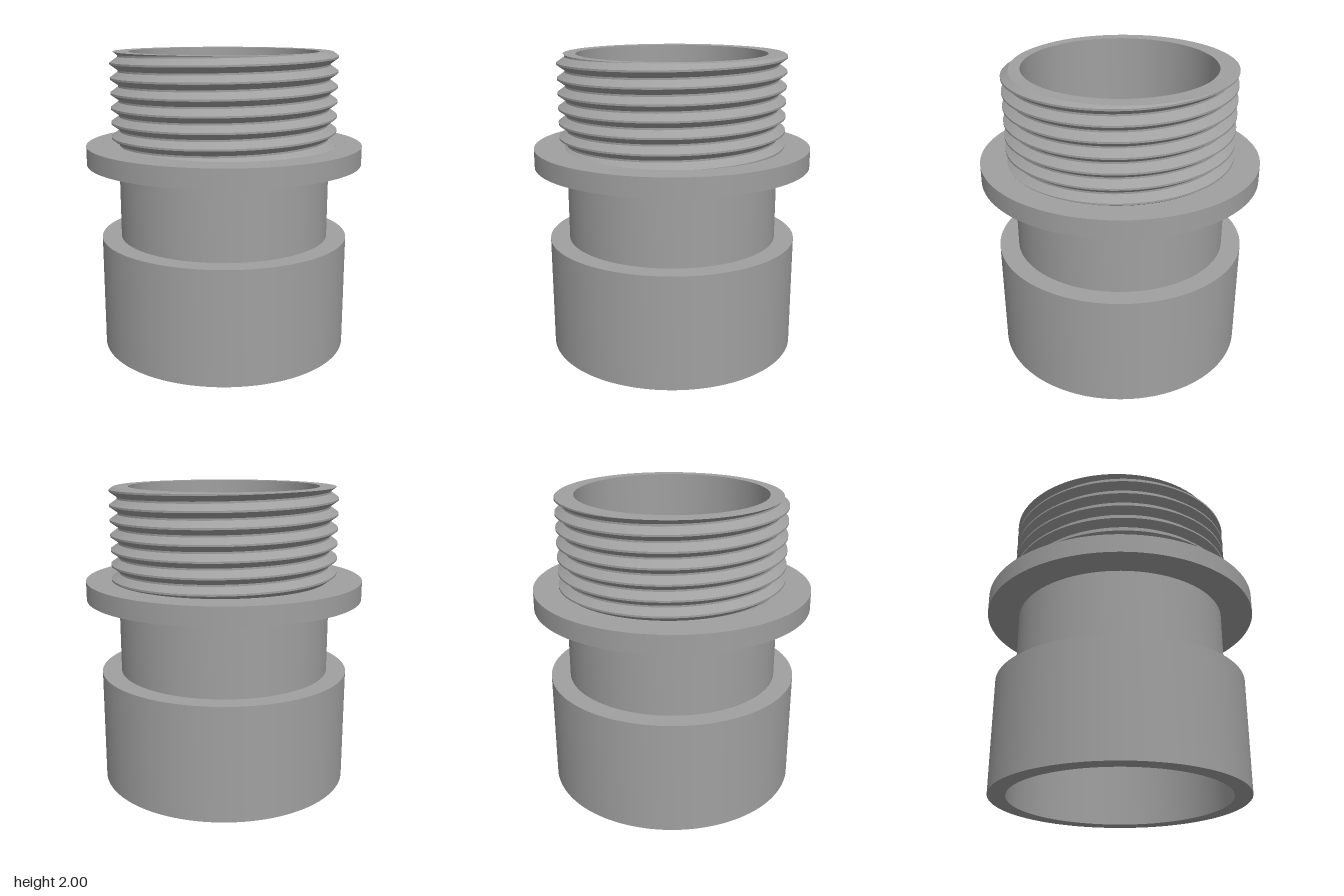
import * as THREE from 'three';
import { toCreasedNormals } from 'three/addons/utils/BufferGeometryUtils.js';

const SEGMENTS = 128;
const PITCH = 0.0967, CREST = 0.755, ROOT = 0.704, FLAT = 0.006;
const THREAD_BOTTOM = 1.39, TOP = 2, BORE = 0.63;

// Radius of the thread at a height above or below its crest
function threadRadius(offset) {
  const d = Math.abs(offset - Math.round(offset / PITCH) * PITCH);
  const t = THREE.MathUtils.clamp((d - FLAT) / (PITCH / 2 - 2 * FLAT), 0, 1);
  return THREE.MathUtils.lerp(CREST, ROOT, t);
}

// Right-hand helical thread, cut flat at both ends and closed by the top rim
function threadGeometry() {
  const corners = [-PITCH / 2 + FLAT, -FLAT, FLAT, PITCH / 2 - FLAT];
  const positions = [], index = [];
  let rows = 0;
  for (let i = 0; i <= SEGMENTS; i++) {
    const a = (i / SEGMENTS) * Math.PI * 2;
    const crestY = 1.963 + (PITCH * i) / SEGMENTS;
    const column = [];
    for (let turn = -8; turn <= 1; turn++) {
      for (const c of corners) {
        const y = THREE.MathUtils.clamp(crestY + turn * PITCH + c, THREAD_BOTTOM, TOP);
        column.push([threadRadius(y - crestY), y]);
      }
    }
    column.push([BORE, TOP]);
    rows = column.length;
    for (const [r, y] of column) positions.push(r * Math.cos(a), y, -r * Math.sin(a));
  }
  const point = (k) => new THREE.Vector3().fromArray(positions, k * 3);
  const addFace = (a, b, c) => {
    if (new THREE.Triangle(point(a), point(b), point(c)).getArea() > 1e-9) index.push(a, b, c);
  };
  for (let i = 0; i < SEGMENTS; i++) {
    for (let j = 0; j < rows - 1; j++) {
      const p = i * rows + j, q = p + rows;
      addFace(p, q, q + 1);
      addFace(p, q + 1, p + 1);
    }
  }
  const geometry = new THREE.BufferGeometry();
  geometry.setAttribute('position', new THREE.Float32BufferAttribute(positions, 3));
  geometry.setIndex(index);
  return toCreasedNormals(geometry, 0.5);
}

// Turned surface with sharp profile corners
function turned(profile) {
  const points = profile.map(([r, y]) => new THREE.Vector2(r, y));
  return toCreasedNormals(new THREE.LatheGeometry(points, SEGMENTS), 0.5);
}

export function createModel() {
  const group = new THREE.Group();
  group.name = 'threadedPipeAdapter';
  const grey = new THREE.MeshStandardMaterial({ color: 0xa0a0a0 });
  grey.name = 'grey';

  const parts = {
    // Wide lower sleeve, open at the bottom
    socket: turned([[0.725, 0.64], [0.725, 0], [0.84, 0], [0.84, 0.76], [0.71, 0.76]]),
    neck: turned([[0.71, 0.76], [0.71, 1.265]]),
    flange: turned([[0.71, 1.265], [0.925, 1.265], [0.925, 1.39], [0.7, 1.39]]),
    thread: threadGeometry(),
    // Inner wall and the ledge where the socket narrows
    bore: turned([[BORE, TOP], [BORE, 0.64], [0.725, 0.64]]),
  };
  for (const [name, geometry] of Object.entries(parts)) {
    const mesh = new THREE.Mesh(geometry, grey);
    mesh.name = name;
    group.add(mesh);
  }
  return group;
}
